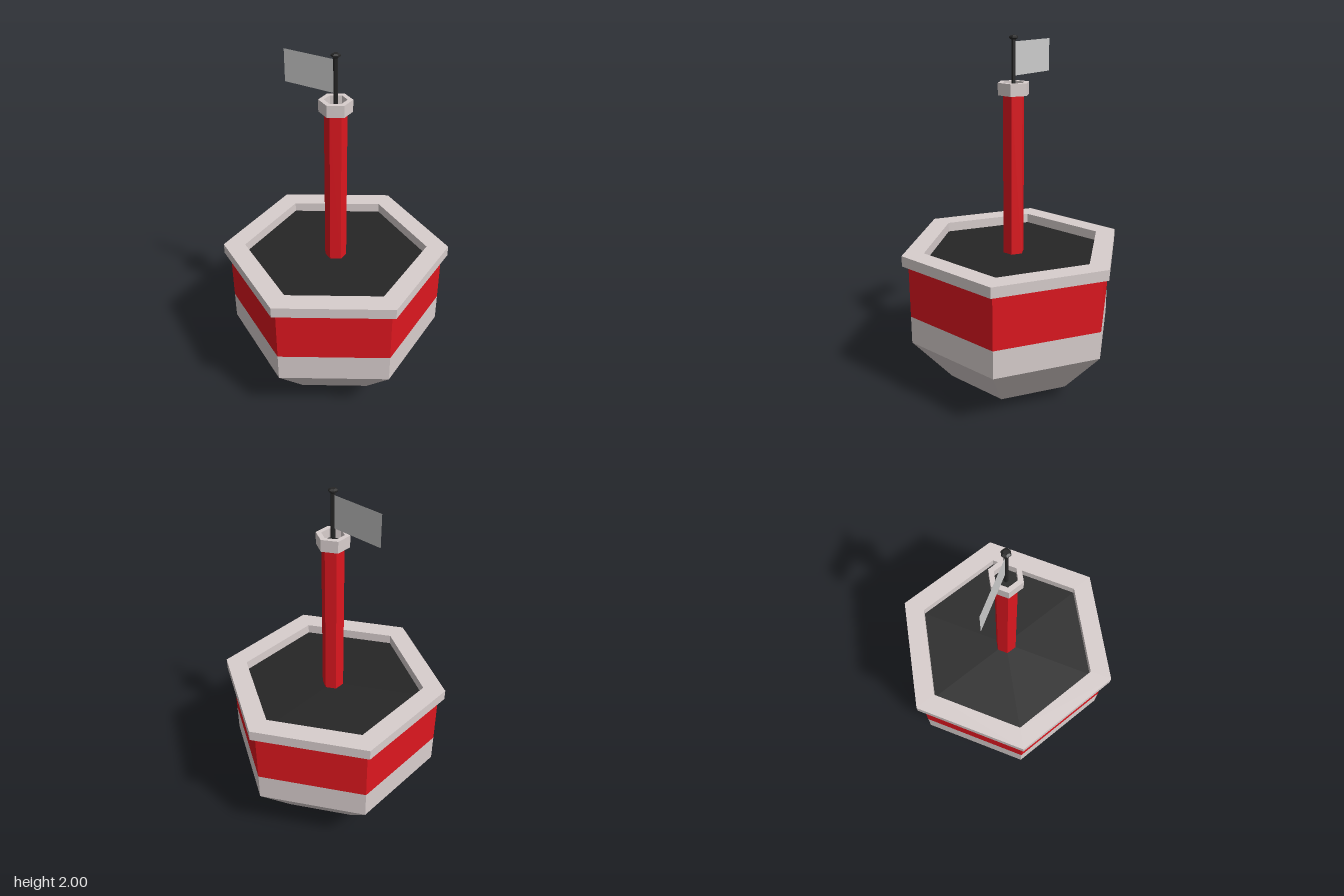
import * as THREE from 'three';

const paint = (color, side = THREE.FrontSide) =>
  new THREE.MeshStandardMaterial({ color, flatShading: true, side });

// Six-sided turned part; profile is [radius, height] pairs, outside going up
function hexTurned(name, profile, material) {
  const points = profile.map(([r, y]) => new THREE.Vector2(r, y));
  const geometry = new THREE.LatheGeometry(points, 6).toNonIndexed();
  geometry.computeVertexNormals();
  const mesh = new THREE.Mesh(geometry, material);
  mesh.name = name;
  return mesh;
}

// Closed hexagonal ring with a rectangular section
const hexRing = (name, inner, outer, y0, y1, material) =>
  hexTurned(name, [[inner, y0], [outer, y0], [outer, y1], [inner, y1], [inner, y0]], material);

// Solid hexagonal prism
const hexPrism = (name, r, y0, y1, material) =>
  hexTurned(name, [[0, y0], [r, y0], [r, y1], [0, y1]], material);

export function createModel() {
  const model = new THREE.Group();
  model.name = 'buoy';

  const pale = paint(0xd8cecd);
  const red = paint(0xdd171f);
  const dark = paint(0x262626);
  const flagGrey = paint(0xcccccc, THREE.DoubleSide);

  // Hull: faceted bottom, pale side band, red band
  model.add(hexTurned('lowerHull', [[0, 0], [0.07, 0], [0.38, 0.08], [0.605, 0.34], [0.605, 0.5]], pale));
  model.add(hexTurned('redBand', [[0.605, 0.5], [0.605, 0.807]], red));

  // Sunken deck inside a raised, overhanging rim
  model.add(hexTurned('deck', [[0.605, 0.81], [0, 0.81]], dark));
  model.add(hexRing('rim', 0.517, 0.64, 0.805, 0.865, pale));

  // Pole with a hollow collar on top
  model.add(hexPrism('pole', 0.06, 0.805, 1.7, red));
  model.add(hexRing('collar', 0.06, 0.088, 1.695, 1.76, pale));
  model.add(hexTurned('collarFloor', [[0.062, 1.71], [0, 1.71]], dark));

  // Thin flagstaff with a small knob
  model.add(hexPrism('flagstaff', 0.012, 1.71, 1.985, dark));
  model.add(hexTurned('knob', [[0, 1.978], [0.014, 1.978], [0.025, 1.986], [0.025, 1.993], [0.014, 2], [0, 2]], dark));

  // Flat flag flying toward the model's right
  const flag = new THREE.Mesh(new THREE.PlaneGeometry(0.305, 0.175), flagGrey);
  flag.name = 'flag';
  flag.position.set(-0.1525, 1.88, 0);
  model.add(flag);

  return model;
}
